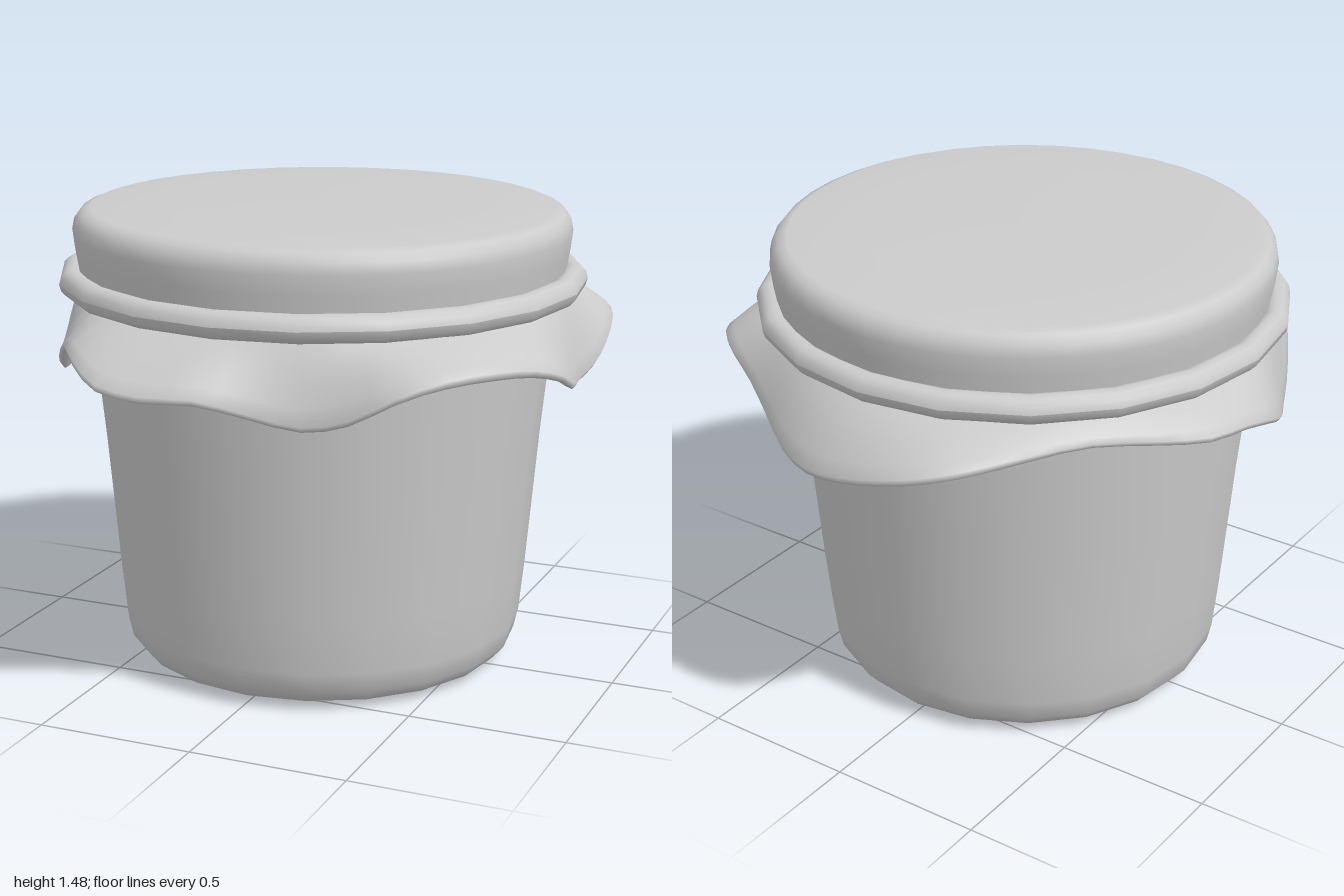
import * as THREE from 'three';

const material = new THREE.MeshStandardMaterial({ color: 0xcccccc });
const clothMaterial = new THREE.MeshStandardMaterial({ color: 0xcccccc, side: THREE.DoubleSide });

function part(name, geometry, mat = material) {
  const mesh = new THREE.Mesh(geometry, mat);
  mesh.name = name;
  return mesh;
}

// Surface of revolution from [radius, height] pairs, listed bottom to top
function lathe(profile, sides) {
  return new THREE.LatheGeometry(profile.map(([r, y]) => new THREE.Vector2(r, y)), sides);
}

// Wavy hem of the cloth, once around from the front towards +x
const hem = [
  [0, 1.04, 0.96], [0.14, 0.99, 0.88], [0.28, 0.95, 0.82], [0.42, 0.98, 0.8],
  [0.56, 1.06, 0.79], [0.69, 1.11, 0.72], [0.8, 1.12, 0.6], [0.87, 1.1, 0.46],
  [0.91, 1.05, 0.31], [0.9, 0.99, 0.17], [0.87, 0.97, 0], [0.87, 0.98, -0.15],
  [0.87, 1.02, -0.27], [0.85, 1.08, -0.42], [0.79, 1.1, -0.54], [0.68, 1.09, -0.63],
  [0.54, 1.06, -0.71], [0.4, 1.02, -0.8], [0.27, 0.99, -0.89], [0.12, 0.99, -0.96],
  [-0.03, 1.02, -0.99], [-0.2, 1.07, -1], [-0.34, 1.11, -0.97], [-0.44, 1.13, -0.88],
  [-0.53, 1.14, -0.75], [-0.64, 1.14, -0.58], [-0.78, 1.13, -0.44], [-0.88, 1.12, -0.32],
  [-0.91, 1.1, -0.16], [-0.91, 1.05, 0], [-0.87, 0.99, 0.13], [-0.8, 0.95, 0.27],
  [-0.73, 0.95, 0.42], [-0.65, 1.02, 0.57], [-0.53, 1.11, 0.75], [-0.42, 1.1, 0.89],
  [-0.3, 1.06, 0.98], [-0.15, 1.04, 0.99],
].map((p) => new THREE.Vector3(...p));

// Cloth of real thickness: each cross-section runs out along the top,
// around the hem and back along the underside
function skirtGeometry() {
  const curve = new THREE.CatmullRomCurve3(hem, true);
  const columns = hem.length * 2;
  const thickness = 0.03;
  const steps = [0, 0.2, 0.4, 0.6, 0.8, 0.96];
  const section = [
    ...steps.map((t) => [t, 0]),
    [1, 0.5],
    ...[...steps].reverse().map((t) => [t, 1]),
  ];
  const positions = [];
  const index = [];
  for (let i = 0; i < columns; i++) {
    const p = curve.getPoint(i / columns);
    const angle = Math.atan2(p.x, p.z);
    const r0 = 0.775, y0 = 1.22;
    const r1 = Math.hypot(p.x, p.z), y1 = p.y + 0.01;
    const fall = new THREE.QuadraticBezierCurve(
      new THREE.Vector2(r0, y0),
      new THREE.Vector2(r0 + (r1 - r0) * 0.55, y0 + (y1 - y0) * 0.35),
      new THREE.Vector2(r1, y1),
    );
    for (const [t, depth] of section) {
      const q = fall.getPoint(t);
      const d = fall.getTangent(t);
      const r = q.x + d.y * thickness * depth;
      const y = q.y - d.x * thickness * depth;
      positions.push(Math.sin(angle) * r, y, Math.cos(angle) * r);
    }
  }
  const n = section.length;
  for (let i = 0; i < columns; i++) {
    for (let j = 0; j < n - 1; j++) {
      const a = i * n + j;
      const c = ((i + 1) % columns) * n + j;
      index.push(a, a + 1, c, c, a + 1, c + 1);
    }
  }
  const geometry = new THREE.BufferGeometry();
  geometry.setAttribute('position', new THREE.Float32BufferAttribute(positions, 3));
  geometry.setIndex(index);
  geometry.computeVertexNormals();
  return geometry;
}

export function createModel() {
  const model = new THREE.Group();
  model.name = 'coveredJar';

  // Tapered jar with a rounded foot
  model.add(part('jarBody', lathe([
    [0, 0], [0.5, 0], [0.55, 0.005], [0.6, 0.025], [0.635, 0.065], [0.65, 0.13],
    [0.667, 0.3], [0.705, 0.75], [0.74, 1.1], [0.745, 1.22],
  ], 20)));

  // Cloth stretched over the lid
  model.add(part('clothTop', lathe([
    [0.765, 1.2], [0.775, 1.28], [0.785, 1.34], [0.792, 1.4], [0.785, 1.435],
    [0.765, 1.46], [0.735, 1.472], [0.5, 1.48], [0, 1.483],
  ], 40)));

  // Loose cloth flaring out below the band
  model.add(part('clothSkirt', skirtGeometry(), clothMaterial));

  // Rounded band that ties the cloth down
  const band = [];
  for (let i = 0; i <= 12; i++) {
    const a = (i / 12) * Math.PI * 2;
    band.push([0.798 + 0.044 * Math.cos(a), 1.247 + 0.044 * Math.sin(a)]);
  }
  model.add(part('band', lathe(band, 20)));

  return model;
}
